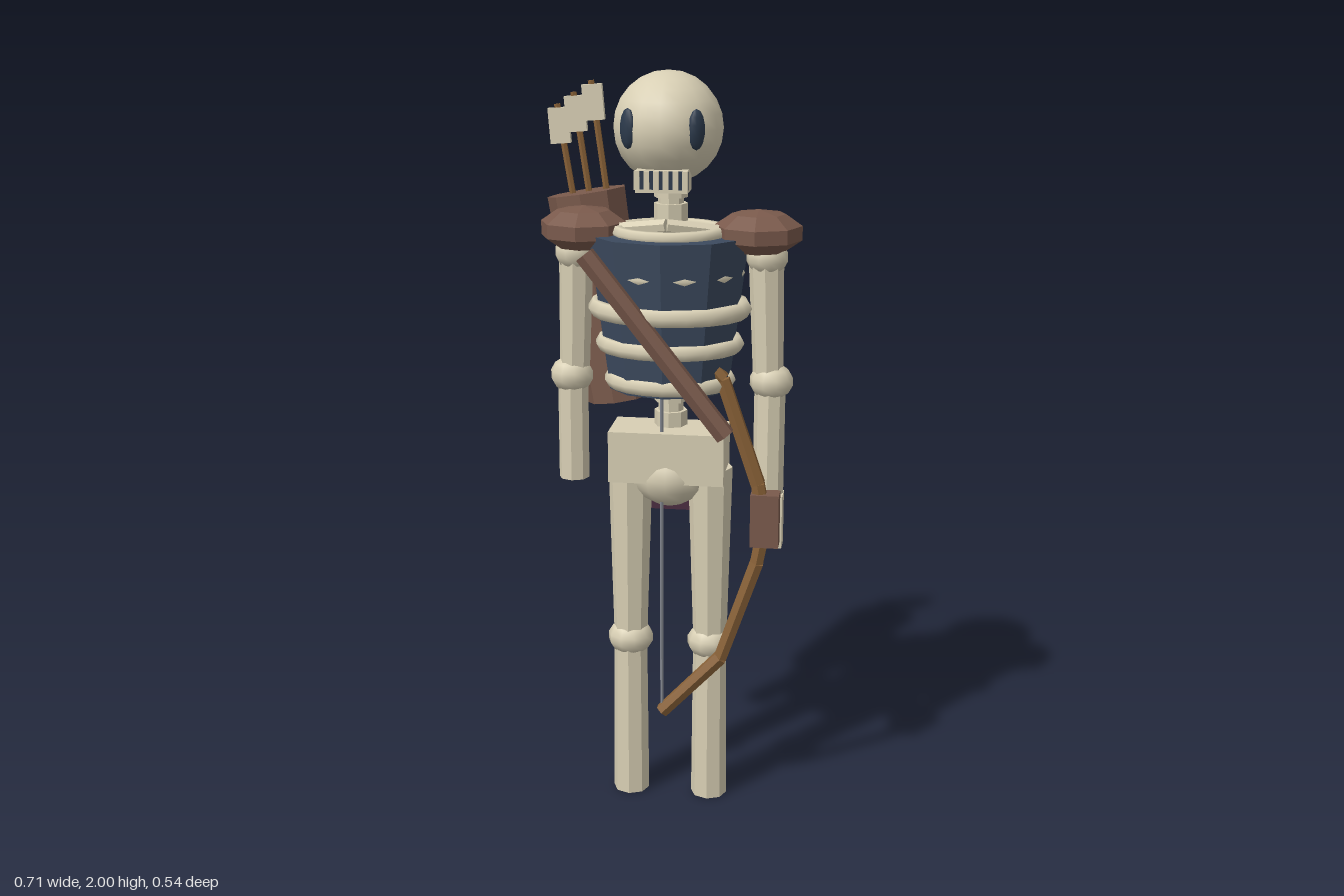
import * as THREE from 'three';

const mat = (name, color) => {
  const m = new THREE.MeshStandardMaterial({ color });
  m.name = name;
  return m;
};
const UP = new THREE.Vector3(0, 1, 0);
const V = (p) => new THREE.Vector3(...p);
const CX = 0.013; // body centre line

export function createModel() {
  const root = new THREE.Group();
  root.name = 'skeletonArcher';
  const bone = mat('bone', 0xd8cfb4);
  const leather = mat('leather', 0x7a5a4c);
  const cloth = mat('dark blue cloth', 0x3c4a5e);
  const socket = mat('eye socket', 0x2c3a4c);
  const purple = mat('purple cloth', 0x4a2c40);
  const wood = mat('bow wood', 0x8a6238);
  const string = mat('bow string', 0x80848c);

  const add = (name, geo, material, pos = [0, 0, 0]) => {
    const mesh = new THREE.Mesh(geo, material);
    mesh.name = name;
    mesh.position.set(...pos);
    root.add(mesh);
    return mesh;
  };
  // Faceted normals
  const flat = (geo) => {
    const g = geo.index ? geo.toNonIndexed() : geo;
    g.computeVertexNormals();
    return g;
  };
  const box = (name, size, pos, m) => add(name, new THREE.BoxGeometry(...size), m, pos);
  const ball = (name, r, pos, m, ws = 10, hs = 7) => {
    const mesh = add(name, new THREE.SphereGeometry(1, ws, hs), m, pos);
    mesh.scale.set(...r);
    return mesh;
  };
  // Tapered faceted rod between two points
  const rod = (name, a, b, ra, rb, m, sides = 8) => {
    const A = V(a), B = V(b), d = B.clone().sub(A);
    const mesh = add(name, flat(new THREE.CylinderGeometry(rb, ra, d.length(), sides)), m,
      A.clone().add(B).multiplyScalar(0.5).toArray());
    mesh.quaternion.setFromUnitVectors(UP, d.normalize());
    return mesh;
  };

  // Skull, eye sockets, jaw and teeth
  ball('skull', [0.14, 0.14, 0.148], [CX, 1.86, 0.1], bone, 16, 12);
  for (const s of [-1, 1]) {
    const eye = ball('eyeSocket', [0.024, 0.05, 0.014], [CX + s * 0.085, 1.865, 0.208], socket);
    eye.rotation.y = s * 0.65;
  }
  box('jaw', [0.13, 0.055, 0.08], [CX, 1.738, 0.182], bone);
  box('mouthGap', [0.135, 0.045, 0.006], [CX, 1.742, 0.224], socket);
  for (let i = 0; i < 6; i++) box('tooth', [0.014, 0.046, 0.008], [CX + (i - 2.5) * 0.024, 1.742, 0.228], bone);

  // Spine with vertebrae
  rod('spine', [CX, 1.02, 0.052], [CX, 1.78, 0.052], 0.034, 0.034, bone);
  for (const y of [1.09, 1.16, 1.64, 1.7]) {
    add('vertebra', flat(new THREE.CylinderGeometry(0.044, 0.044, 0.045, 8)), bone, [CX, y, 0.052]);
  }

  // Tunic
  const tunic = add('tunic', flat(new THREE.CylinderGeometry(0.212, 0.16, 0.405, 10)), cloth, [CX, 1.3825, 0.074]);
  tunic.scale.z = 0.82;

  // Rib rings: height, outer radius, depth ratio, tube
  const ribs = [[1.592, 0.152, 0.88, 0.018], [1.49, 0.195, 0.82, 0.018],
    [1.395, 0.215, 0.78, 0.025], [1.302, 0.196, 0.8, 0.022], [1.205, 0.174, 0.82, 0.022]];
  for (const [y, r, depth, tube] of ribs) {
    const g = new THREE.TorusGeometry(r - tube, tube, 6, 20);
    g.rotateX(Math.PI / 2);
    add('rib', g, bone, [CX, y, 0.074]).scale.z = depth;
  }

  // Pelvis
  box('pelvis', [0.306, 0.138, 0.15], [CX, 1.003, 0.08], bone);
  ball('pelvisBowl', [0.1, 0.085, 0.092], [CX, 0.94, 0.076], bone, 12, 8);
  box('backCloth', [0.25, 0.215, 0.02], [CX, 0.903, -0.06], purple);

  for (const s of [-1, 1]) {
    // Legs
    const lx = CX + s * 0.11;
    rod('thigh', [lx, 0.46, 0.065], [lx - s * 0.002, 0.962, 0.065], 0.046, 0.06, bone);
    ball('knee', [0.063, 0.05, 0.06], [lx, 0.46, 0.066], bone);
    rod('shin', [lx, 0, 0.067], [lx, 0.46, 0.067], 0.05, 0.046, bone);
    // Collarbones, shoulder pads and arms
    rod('collarbone', [CX, 1.615, 0.13], [CX + s * 0.2, 1.585, 0.06], 0.018, 0.018, bone, 6);
    const pad = add('shoulderPad', flat(new THREE.SphereGeometry(0.118, 8, 5)), leather, [CX + s * 0.2275, 1.593, 0.061]);
    pad.scale.y = 0.5;
    const ax = CX + s * 0.258;
    ball('shoulder', [0.055, 0.05, 0.055], [ax - s * 0.008, 1.53, 0.06], bone);
    rod('upperArm', [ax, 1.2, 0.055], [ax - s * 0.01, 1.54, 0.06], 0.04, 0.046, bone);
    ball('elbow', [0.058, 0.05, 0.055], [ax + s * 0.008, 1.2, 0.055], bone);
    rod('forearm', [ax + s * 0.005, s > 0 ? 0.88 : 0.915, s > 0 ? 0.068 : 0.058], [ax + s * 0.005, 1.2, 0.055], 0.041, 0.041, bone);
  }
  box('leftHand', [0.075, 0.145, 0.06], [0.28, 0.825, 0.075], bone);

  // Chest strap
  rod('chestStrap', [0.18, 1.1, 0.242], [-0.18, 1.555, 0.232], 0.027, 0.027, leather, 6);

  // Bow, its grip and string
  const half = [[0.275, 0.83], [0.255, 0.72], [0.16, 0.44], [0, 0.27]];
  for (const s of [-1, 1]) {
    for (let i = 0; i < 3; i++) {
      const p = half.slice(i, i + 2).map(([x, y]) => [x, 0.83 - s * (0.83 - y), 0.132]);
      rod('bowLimb', p[0], p[1], 0.021, 0.02, wood, 6);
    }
  }
  box('bowGrip', [0.075, 0.145, 0.054], [0.275, 0.843, 0.13], leather);
  rod('bowString', [0, 0.28, 0.132], [0, 1.38, 0.132], 0.005, 0.005, string, 5);

  // Quiver and arrows
  rod('quiver', [-0.158, 1.09, -0.135], [-0.248, 1.655, -0.165], 0.092, 0.109, leather, 9);
  [[-0.325, 1.875], [-0.28, 1.907], [-0.232, 1.938]].forEach(([x, top]) => {
    rod('arrowShaft', [x + 0.045, 1.6, -0.166], [x - 0.002, top + 0.012, -0.166], 0.009, 0.009, wood, 6);
    const f = box('fletching', [0.055, 0.095, 0.018], [x + 0.004, top - 0.045, -0.166], bone);
    f.rotation.z = 0.08;
  });

  return root;
}
